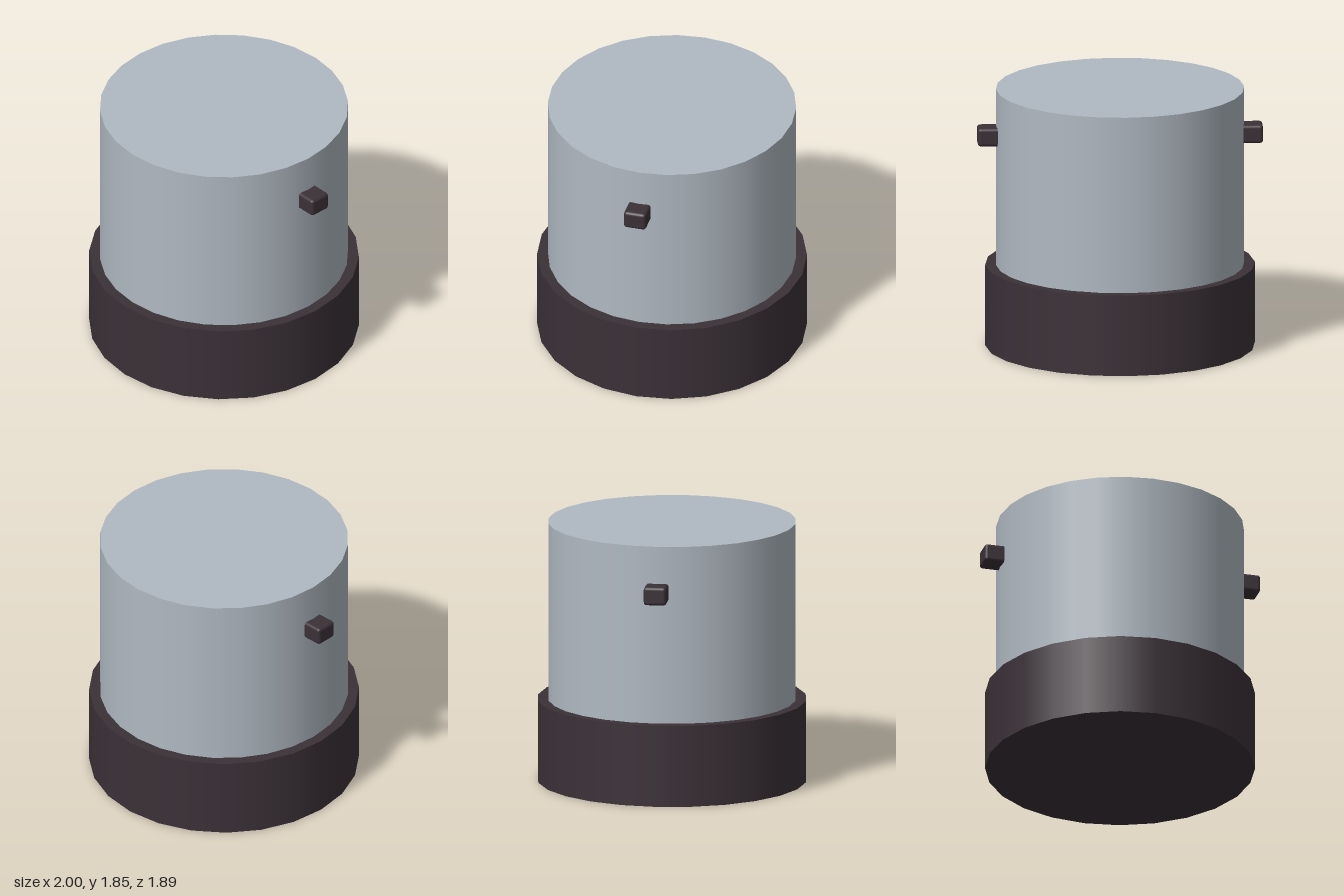
import * as THREE from 'three';
import { RoundedBoxGeometry } from 'three/addons/geometries/RoundedBoxGeometry.js';

export function createModel() {
  const model = new THREE.Group();
  model.name = 'drum';

  const paleGrey = new THREE.MeshStandardMaterial({ name: 'paleGrey', color: 0xb0b9c2 });
  const darkPlum = new THREE.MeshStandardMaterial({ name: 'darkPlum', color: 0x3b3138 });

  function add(name, geometry, material, x, y, z) {
    const mesh = new THREE.Mesh(geometry, material);
    mesh.name = name;
    mesh.position.set(x, y, z);
    model.add(mesh);
  }

  // Wide dark foot
  const baseHeight = 0.58;
  add('base', new THREE.CylinderGeometry(0.945, 0.945, baseHeight, 24), darkPlum, 0, baseHeight / 2, 0);

  // Pale body, sunk slightly into the foot
  const bodyBottom = 0.5, bodyTop = 1.845;
  add('body', new THREE.CylinderGeometry(0.87, 0.87, bodyTop - bodyBottom, 28), paleGrey,
    0, (bodyBottom + bodyTop) / 2, 0);

  // Rounded lugs on both sides
  for (const [name, side] of [['leftLug', 1], ['rightLug', -1]]) {
    add(name, new RoundedBoxGeometry(0.2, 0.13, 0.16, 3, 0.022), darkPlum, side * 0.9, 1.515, 0);
  }

  return model;
}
